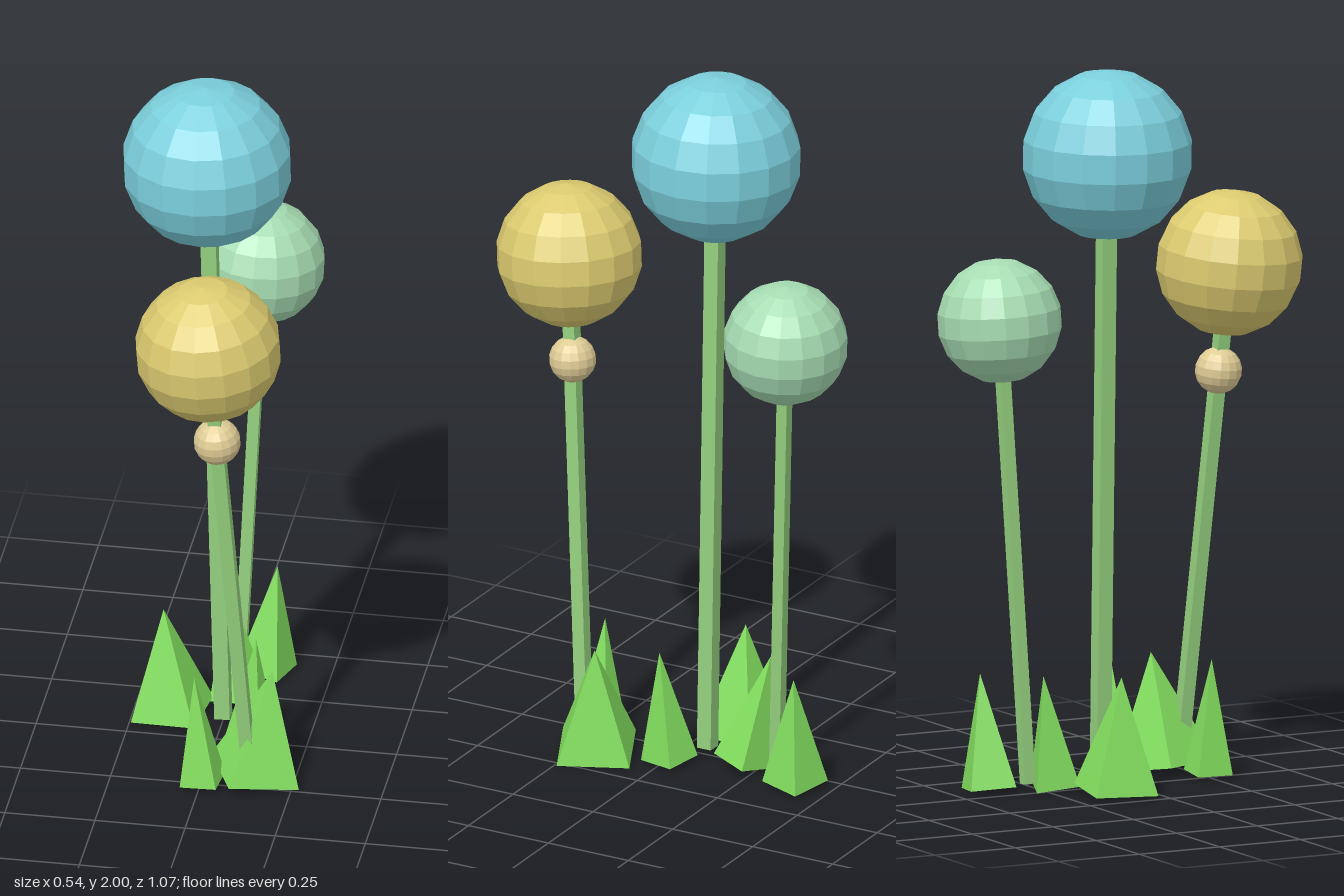
import * as THREE from 'three';

const UP = new THREE.Vector3(0, 1, 0);
const V = (a) => new THREE.Vector3(...a);

// flat colour with faceted shading
const mat = (name, color) => {
  const m = new THREE.MeshStandardMaterial({ color, flatShading: true });
  m.name = name;
  return m;
};

export function createModel() {
  const group = new THREE.Group();
  const stemGreen = mat('stem green', 0x93cf7d);
  const leafGreen = mat('leaf green', 0x82de5e);
  const blue = mat('blue', 0x7bcfdc);
  const gold = mat('gold', 0xdccb70);
  const mint = mat('mint', 0xa6dcb2);
  const cream = mat('cream', 0xdfcc95);

  // adds a mesh whose local y axis leans along dir
  function add(name, geometry, material, position, dir) {
    const mesh = new THREE.Mesh(geometry, material);
    mesh.name = name;
    mesh.position.copy(position);
    mesh.quaternion.setFromUnitVectors(UP, dir.clone().normalize());
    group.add(mesh);
  }

  // leaning square stem with a faceted ball on its end
  function flower(name, root, centre, radius, thickness, material) {
    const a = V(root), b = V(centre), dir = b.clone().sub(a);
    add(name + 'Stem', new THREE.BoxGeometry(thickness, dir.length(), thickness), stemGreen,
      a.clone().add(b).multiplyScalar(0.5), dir);
    add(name + 'Ball', new THREE.SphereGeometry(radius, 16, 9), material, b, dir);
    return { a, dir };
  }

  flower('tall', [0.005, 0.03, -0.083], [-0.04, 1.765, -0.085], 0.235, 0.043, blue);
  flower('back', [0.012, 0.03, -0.304], [0.067, 1.31, -0.362], 0.172, 0.032, mint);
  const front = flower('front', [0.133, 0.03, 0.23], [0.035, 1.42, 0.333], 0.202, 0.036, gold);

  // small bead threaded on the front stem
  add('bead', new THREE.SphereGeometry(0.065, 16, 9), cream,
    front.a.clone().addScaledVector(front.dir, 0.784), front.dir);

  // leaf spikes: base centre, tip, side of the square base, turn in degrees
  const leaves = [
    [[0.14, 0.02, 0.19], [0.185, 0.33, 0.17], 0.2, -24],
    [[0.005, 0.017, 0.252], [-0.018, 0.335, 0.25], 0.102, 5],
    [[0.092, 0.015, -0.012], [0.112, 0.33, 0.008], 0.11, 15],
    [[-0.142, 0.02, -0.112], [-0.165, 0.335, -0.108], 0.18, 8],
    [[0.028, 0.023, -0.21], [-0.015, 0.33, -0.27], 0.12, 20],
    [[0.07, 0.017, -0.393], [0.1, 0.33, -0.405], 0.127, 16],
  ];
  for (const [base, tip, side, turn] of leaves) {
    const a = V(base), b = V(tip), dir = b.clone().sub(a);
    const cone = new THREE.ConeGeometry(side / Math.SQRT2, dir.length(), 4);
    cone.rotateY(Math.PI / 4 - THREE.MathUtils.degToRad(turn));
    add('leafSpike', cone, leafGreen, a.clone().add(b).multiplyScalar(0.5), dir);
  }
  return group;
}
